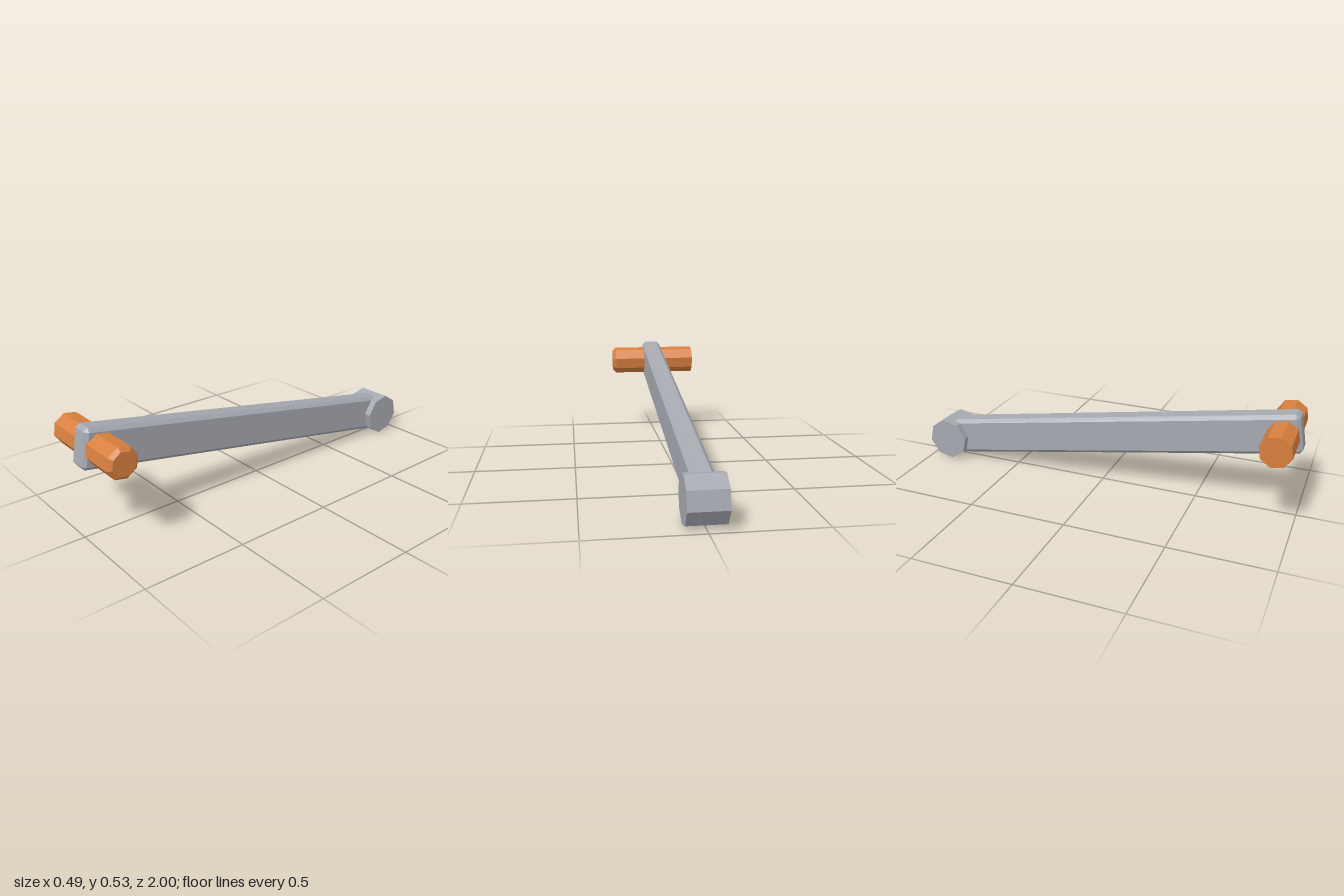
import * as THREE from 'three';
import { ConvexGeometry } from 'three/addons/geometries/ConvexGeometry.js';

const metal = new THREE.MeshStandardMaterial({ color: 0xa6a9b1 });
metal.name = 'grey metal';
const grip = new THREE.MeshStandardMaterial({ color: 0xd9803f });
grip.name = 'orange grip';

// Faceted normals for low-poly parts
function faceted(geometry) {
  const flat = geometry.toNonIndexed();
  flat.computeVertexNormals();
  return flat;
}

// Box with every edge chamfered by c; a, b, d are half sizes
function chamferedBox(a, b, d, c) {
  const points = [];
  for (const x of [-1, 1]) for (const y of [-1, 1]) for (const z of [-1, 1]) {
    points.push(
      new THREE.Vector3(x * a, y * (b - c), z * (d - c)),
      new THREE.Vector3(x * (a - c), y * b, z * (d - c)),
      new THREE.Vector3(x * (a - c), y * (b - c), z * d));
  }
  return new ConvexGeometry(points);
}

export function createModel() {
  const model = new THREE.Group();
  model.name = 'crankHandle';

  // The crank pivots at the hub and rises 10 degrees towards the front
  const crank = new THREE.Group();
  crank.name = 'crank';
  crank.position.set(0, 0.112, -0.89);
  crank.rotation.x = -Math.PI / 18;
  model.add(crank);

  const add = (name, geometry, material, z) => {
    const mesh = new THREE.Mesh(geometry, material);
    mesh.name = name;
    mesh.position.z = z;
    crank.add(mesh);
  };

  // Eight-sided hub across the back end
  const hub = new THREE.CylinderGeometry(0.111, 0.111, 0.175, 8);
  hub.rotateZ(-Math.PI / 2);
  add('hub', faceted(hub), metal, 0);

  // Long chamfered arm, its back end buried in the hub
  const length = 1.905;
  add('arm', chamferedBox(0.0525, 0.0965, length / 2, 0.018), metal, length / 2);

  // Eight-sided grip through the front end, bevelled at its left tip
  const profile = [[0, -0.244], [0.0775, -0.244], [0.0775, 0.226], [0.06, 0.243], [0, 0.243]]
    .map(([r, y]) => new THREE.Vector2(r, y));
  const handle = new THREE.LatheGeometry(profile, 8, Math.PI / 8);
  handle.rotateZ(-Math.PI / 2);
  add('handle', faceted(handle), grip, 1.823);

  return model;
}
